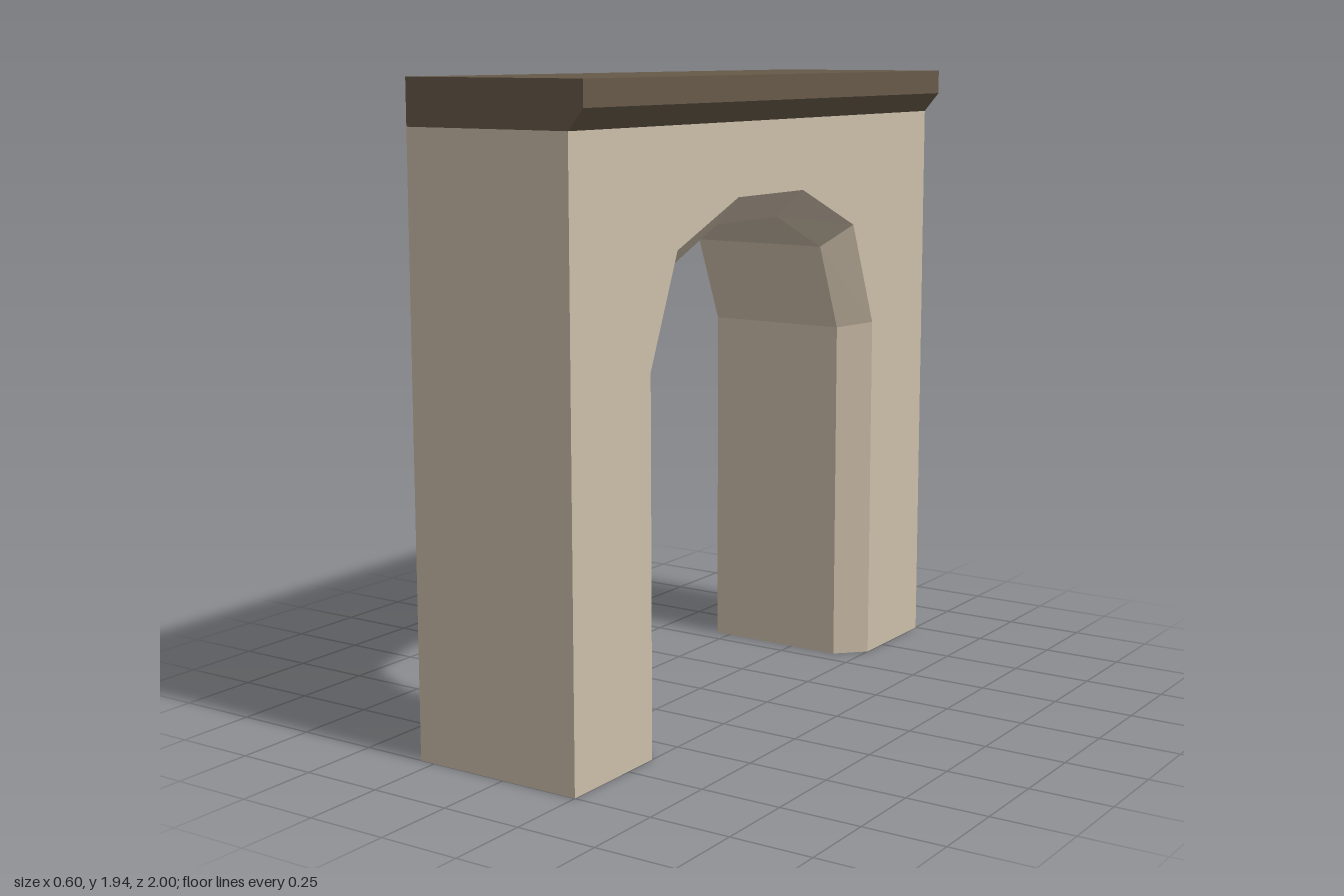
import * as THREE from 'three';

const BACK = -0.3, FRONT = 0.25, BEVEL = 0.165; // x of the two wall faces and of the bevel's inner edge
const WALL_TOP = 1.805;

// Outlines are [z, y] points running from one foot to the other.
const rim = [[-1, 0], [-1, WALL_TOP], [1, WALL_TOP], [1, 0]];
const ARCH_Z = -0.01;
function archOutline(half) { // half: [offset from arch centre, y] from the foot up to the crown
  const left = half.map(([d, y]) => [ARCH_Z - d, y]);
  const right = half.map(([d, y]) => [ARCH_Z + d, y]).reverse();
  return [...left, ...right];
}
const innerArch = archOutline([[0.555, 0], [0.555, 1.11], [0.44, 1.385], [0.17, 1.5]]);
const outerArch = archOutline([[0.64, 0], [0.64, 1.125], [0.505, 1.455], [0.185, 1.585]]);

// Flat-faced strip joining outline a at x = xa to outline b at x = xb.
function strip(a, xa, b, xb) {
  const p = [];
  for (let i = 0; i < a.length - 1; i++) {
    const a0 = [xa, a[i][1], a[i][0]], a1 = [xa, a[i + 1][1], a[i + 1][0]];
    const b0 = [xb, b[i][1], b[i][0]], b1 = [xb, b[i + 1][1], b[i + 1][0]];
    p.push(...a0, ...b0, ...b1, ...a0, ...b1, ...a1);
  }
  const g = new THREE.BufferGeometry();
  g.setAttribute('position', new THREE.Float32BufferAttribute(p, 3));
  g.computeVertexNormals();
  return g;
}

// Wall face at x, with the arch cut out of it.
function wallFace(arch, x) {
  const pts = [...rim, ...[...arch].reverse()].map(([z, y]) => new THREE.Vector2(-z, y));
  const g = new THREE.ShapeGeometry(new THREE.Shape(pts));
  return g.rotateY(Math.PI / 2).translate(x, 0, 0);
}

export function createModel() {
  const group = new THREE.Group();
  group.name = 'archway';

  const plaster = new THREE.MeshStandardMaterial({ color: 0xcbbda9, side: THREE.DoubleSide });
  plaster.name = 'plaster';
  const darkStone = new THREE.MeshStandardMaterial({ color: 0x665948 });
  darkStone.name = 'darkStone';

  const add = (name, geometry, material) => {
    const mesh = new THREE.Mesh(geometry, material);
    mesh.name = name;
    group.add(mesh);
  };

  // Hollow wall, open at the feet
  add('bevelledWallFace', wallFace(outerArch, FRONT), plaster);
  add('plainWallFace', wallFace(innerArch, BACK), plaster);
  add('wallEnds', strip(rim, FRONT, rim, BACK), plaster);

  // Arch opening: sloping bevel, then the straight lining
  add('archBevel', strip(outerArch, FRONT, innerArch, BEVEL), plaster);
  add('archLining', strip(innerArch, BEVEL, innerArch, BACK), plaster);

  // Cornice, overhanging one side only
  const profile = new THREE.Shape([[BACK, WALL_TOP], [FRONT, WALL_TOP], [0.3, 1.865], [0.3, 1.94], [BACK, 1.94]]
    .map(([x, y]) => new THREE.Vector2(x, y)));
  const cornice = new THREE.ExtrudeGeometry(profile, { depth: 2, bevelEnabled: false });
  add('cornice', cornice.translate(0, 0, -1), darkStone);

  return group;
}
